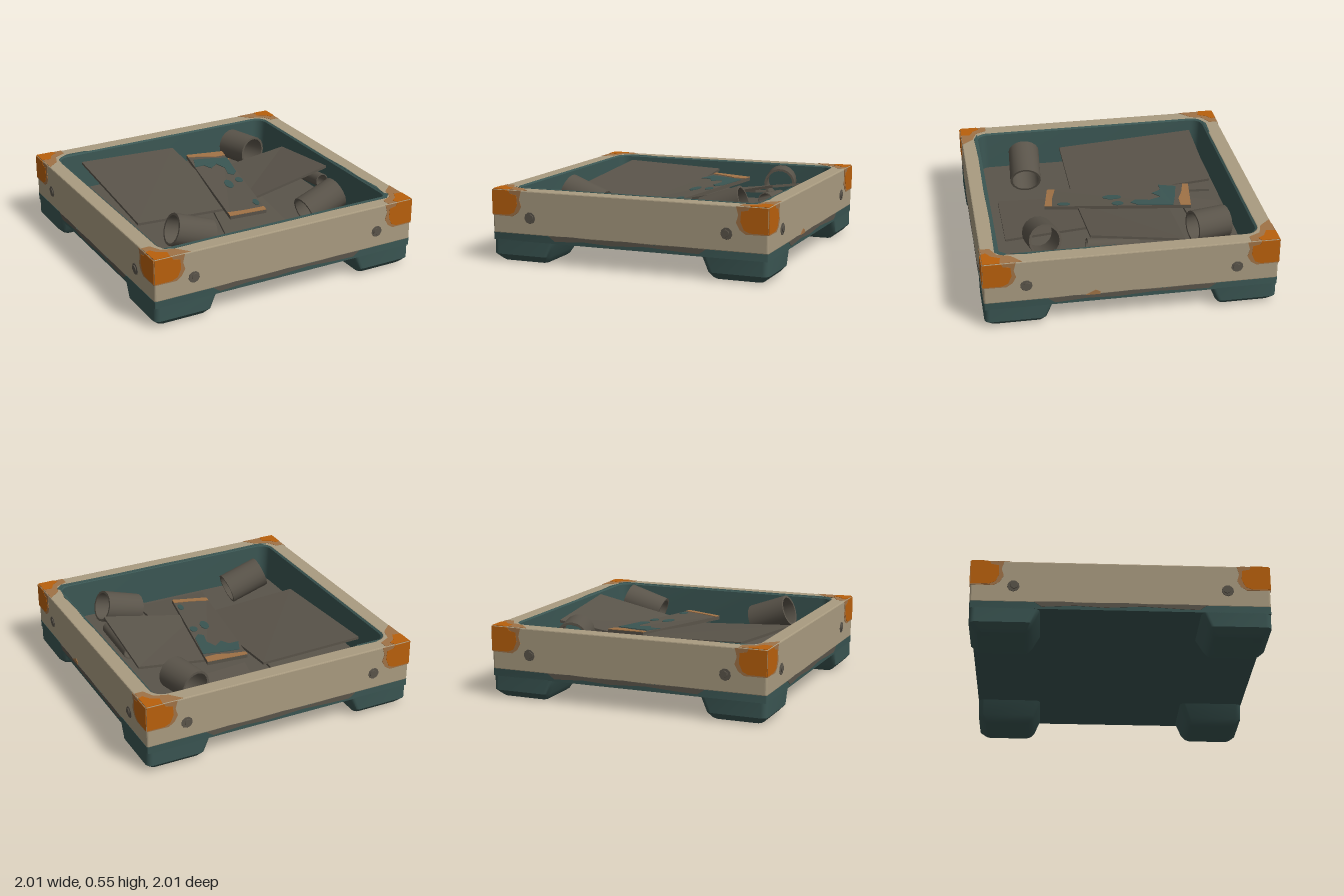
import * as THREE from 'three';
import { toCreasedNormals } from 'three/addons/utils/BufferGeometryUtils.js';

const mat = (name, color, side = THREE.FrontSide) => {
  const m = new THREE.MeshStandardMaterial({ color, side });
  m.name = name;
  return m;
};

export function createModel() {
  const cream = mat('cream paint', 0xa99b80);
  const teal = mat('teal metal', 0x3a5552);
  const orange = mat('orange paint', 0xb9600c);
  const worn = mat('worn copper edge', 0xa07246);
  const grey = mat('grey scrap', 0x5a544a);
  const root = new THREE.Group();
  root.name = 'scrapTray';

  const add = (name, geo, material, parent = root) => {
    const mesh = new THREE.Mesh(geo, material);
    mesh.name = name;
    parent.add(mesh);
    return mesh;
  };

  // Rounded rectangle outline as [x, z] pairs
  const outline = (x0, x1, z0, z1, r, n = 6) => {
    const pts = [];
    [[x1 - r, z1 - r], [x0 + r, z1 - r], [x0 + r, z0 + r], [x1 - r, z0 + r]].forEach(([cx, cz], k) => {
      for (let i = 0; i <= n; i++) {
        const a = (k + i / n) * Math.PI / 2;
        pts.push([cx + r * Math.cos(a), cz + r * Math.sin(a)]);
      }
    });
    return pts;
  };

  // Skin over stacked rounded rectangles [y, x0, x1, z0, z1, r]; upward rings face outward
  const loft = (rings, capped = true) => {
    const pos = [], idx = [];
    const loops = rings.map(([y, ...rect]) => outline(...rect).map(([x, z]) => [x, y, z]));
    const n = loops[0].length;
    loops.forEach(l => l.forEach(p => pos.push(...p)));
    for (let i = 0; i < loops.length - 1; i++) {
      for (let j = 0; j < n; j++) {
        const a = i * n + j, b = i * n + (j + 1) % n;
        idx.push(a, a + n, b, b, a + n, b + n);
      }
    }
    if (capped) {
      const last = (loops.length - 1) * n;
      for (let j = 1; j < n - 1; j++) idx.push(0, j, j + 1, last, last + j + 1, last + j);
    }
    const g = new THREE.BufferGeometry();
    g.setAttribute('position', new THREE.Float32BufferAttribute(pos, 3));
    g.setIndex(idx);
    return toCreasedNormals(g, 0.6);
  };

  const shapeOf = pts => new THREE.Shape(pts.map(p => new THREE.Vector2(p[0], p[1])));
  const plate = (pts, depth) => new THREE.ExtrudeGeometry(shapeOf(pts), { depth, bevelEnabled: false });
  const topPlate = (pts, depth) => plate(pts.map(([x, z]) => [x, -z]).reverse(), depth).rotateX(-Math.PI / 2).translate(0, 0.5, 0);
  const S = 0.994;

  // Base slab and outer wall
  add('base', loft([[0.15, -S, S, -S, S, 0.012], [0.2, -S, S, -S, S, 0.012]]), teal);
  const ring = shapeOf(outline(-S, S, -S, S, 0.015));
  ring.holes.push(new THREE.Path(outline(-0.885, 0.885, -0.885, 0.885, 0.09).map(p => new THREE.Vector2(...p))));
  const wall = new THREE.ExtrudeGeometry(ring, {
    depth: 0.288, bevelEnabled: true, bevelSize: 0.008, bevelThickness: 0.008, bevelOffset: -0.008, bevelSegments: 2,
  });
  add('wall', wall.rotateX(-Math.PI / 2).translate(0, 0.204, 0), cream);

  // Inner liner and floor
  const sq = (y, h, r) => [y, -h, h, -h, h, r];
  add('liner', loft([sq(0.5, 0.886, 0.09), sq(0.49, 0.872, 0.08), sq(0.22, 0.858, 0.07)], false), teal);
  add('floor', new THREE.ShapeGeometry(shapeOf(outline(-0.862, 0.862, -0.862, 0.862, 0.07)))
    .rotateX(-Math.PI / 2).translate(0, 0.222, 0), grey);

  // Each quarter turn carries a foot, corner paint, bolts and a grime line
  const grime = [[-0.57, 0.2], [-0.52, 0.165], [-0.3, 0.178], [-0.1, 0.168], [0.15, 0.182], [0.38, 0.17],
    [0.52, 0.166], [0.57, 0.2], [0.4, 0.204], [0.2, 0.199], [0, 0.206], [-0.25, 0.2], [-0.4, 0.206]];
  const faceWorn = [[0.993, 0.32], [0.993, 0.496], [0.775, 0.496], [0.79, 0.44], [0.775, 0.39], [0.8, 0.345], [0.84, 0.318]];
  const faceOrange = [[0.993, 0.328], [0.993, 0.496], [0.87, 0.496], [0.86, 0.475], [0.81, 0.465], [0.805, 0.4], [0.83, 0.345], [0.87, 0.328]];
  const topWorn = [[0.99, 0.99], [0.8, 0.99], [0.8, 0.93], [0.88, 0.89], [0.91, 0.8], [0.99, 0.73]];
  const topOrange = [[0.992, 0.992], [0.87, 0.992], [0.855, 0.96], [0.9, 0.93], [0.93, 0.87], [0.992, 0.88]];
  const flip = pts => pts.map(([x, y]) => [-x, y]).reverse();
  for (let q = 0; q < 4; q++) {
    const side = new THREE.Group();
    side.name = 'side' + (q + 1);
    side.rotation.y = q * Math.PI / 2;
    root.add(side);
    add('foot', loft([
      [0, 0.615, 0.94, 0.615, 0.94, 0.03], [0.012, 0.597, 0.957, 0.597, 0.957, 0.035],
      [0.05, 0.575, S, 0.575, S, 0.04], [0.155, 0.53, S, 0.53, S, 0.04],
    ]), teal, side);
    add('grimeLine', plate(grime, 0.003).translate(0, 0, S), grey, side);
    [faceWorn, flip(faceWorn)].forEach(p => add('wornCornerFace', plate(p, 0.003).translate(0, 0, S), worn, side));
    [faceOrange, flip(faceOrange)].forEach(p => add('orangeCornerFace', plate(p, 0.005).translate(0, 0, S), orange, side));
    add('wornCornerTop', topPlate(topWorn, 0.002), worn, side);
    add('orangeCornerTop', topPlate(topOrange, 0.004), orange, side);
    for (const s of [-1, 1]) {
      const washer = new THREE.CylinderGeometry(0.04, 0.042, 0.005, 9).rotateX(Math.PI / 2);
      add('boltWasher', washer.translate(s * 0.71, 0.315, S + 0.001), grey, side);
      const bolt = new THREE.CylinderGeometry(0.024, 0.028, 0.014, 6).rotateX(Math.PI / 2);
      add('bolt', bolt.translate(s * 0.705, 0.317, S + 0.003), grey, side);
    }
  }

  // Chipped stains on the rim and side
  const frontStain = [[-0.84, 0.87], [0.84, 0.87], [0.88, 0.82], [0.9, 0.85], [0.85, 0.9], [0.4, 0.893], [0, 0.898], [-0.5, 0.892], [-0.8, 0.9], [-0.88, 0.87]];
  add('frontRimStain', topPlate(frontStain, 0.002), teal);
  add('rightRimStain', topPlate([[0.884, 0.1], [0.895, 0.3], [0.888, 0.5], [0.9, 0.7], [0.88, 0.8]], 0.002), teal);
  add('backRimStain', topPlate([[-0.82, -0.883], [-0.78, -0.9], [-0.64, -0.895], [-0.62, -0.883]], 0.002), teal);
  add('sideChip', plate([[-0.32, 0.2], [-0.22, 0.2], [-0.22, 0.22], [-0.25, 0.235], [-0.29, 0.215]], 0.004)
    .translate(0, 0, S).rotateY(Math.PI / 2), worn);

  // Map unit coordinates (u right, v back, height) onto four corners
  const warp = (geo, [fl, fr, bl, br]) => {
    const p = geo.attributes.position;
    for (let i = 0; i < p.count; i++) {
      const u = p.getX(i), v = p.getY(i), h = p.getZ(i);
      const c = [0, 1, 2].map(k => (fl[k] * (1 - u) + fr[k] * u) * (1 - v) + (bl[k] * (1 - u) + br[k] * u) * v);
      p.setXYZ(i, c[0], c[1] + h, c[2]);
    }
    const flat = geo.index ? geo.toNonIndexed() : geo;
    flat.computeVertexNormals();
    return flat;
  };
  const sheet = (name, corners, t = 0.018) =>
    add(name, warp(new THREE.BoxGeometry(1, 1, t).translate(0.5, 0.5, -t / 2), corners), grey);

  // Scrap sheets, corners in order front left, front right, back left, back right
  sheet('largeSheet', [[-0.755, 0.4, 0.255], [0, 0.36, 0.255], [-0.73, 0.48, -0.755], [0.015, 0.455, -0.74]]);
  sheet('rightSheet', [[0.05, 0.37, 0.245], [0.77, 0.52, 0.25], [0.1, 0.35, -0.4], [0.785, 0.44, -0.395]]);
  sheet('frontSheet', [[-0.265, 0.25, 0.78], [0.285, 0.25, 0.78], [-0.1, 0.32, 0.1], [0.31, 0.32, 0.1]]);
  sheet('backSheet', [[0.03, 0.34, -0.5], [0.38, 0.34, -0.53], [0.075, 0.3, -0.79], [0.425, 0.3, -0.79]]);
  sheet('backLeftSheet', [[-0.56, 0.3, -0.4], [-0.14, 0.3, -0.4], [-0.555, 0.28, -0.785], [-0.14, 0.28, -0.785]]);

  // Top plank with worn ends and paint patches
  const plank = [[-0.13, 0.385, 0.43], [0.13, 0.4, 0.48], [0.05, 0.445, -0.575], [0.335, 0.435, -0.535]];
  sheet('plank', plank, 0.025);
  const onPlank = (name, pts, m) => add(name, warp(plate(pts, 0.004), plank), m);
  onPlank('plankFrontEdge', [[0, 0], [1, 0], [1, 0.05], [0.5, 0.045], [0, 0.055]], worn);
  onPlank('plankBackEdge', [[0, 0.96], [0.4, 0.945], [0.7, 0.92], [1, 0.93], [1, 1], [0, 1]], worn);
  onPlank('plankPaint', [[0, 0.79], [0.25, 0.8], [0.4, 0.74], [0.6, 0.8], [0.75, 0.72], [0.72, 0.62], [0.85, 0.59], [0.97, 0.64], [1, 0.88], [0.55, 0.9], [0.1, 0.91]], teal);
  [[0.55, 0.46, 0.11, 0.065], [0.88, 0.5, 0.1, 0.04], [0.88, 0.13, 0.08, 0.045]].forEach(([u, v, a, b]) => {
    const oval = Array.from({ length: 12 }, (_, i) => [u + a * Math.cos(i * Math.PI / 6), v + b * Math.sin(i * Math.PI / 6)]);
    onPlank('plankPaintSpot', oval, teal);
  });
  add('rustStrip', new THREE.BoxGeometry(0.28, 0.008, 0.015).translate(0.69, 0.225, -0.83), worn);

  // Open pipe offcuts, laid along a direction
  const pipe = (name, r, len, center, dir) => {
    const h = len / 2, i = r * 0.86;
    const profile = [[i, -h], [r, -h], [r, h], [i, h], [i, -h]].map(p => new THREE.Vector2(...p));
    const mesh = add(name, toCreasedNormals(new THREE.LatheGeometry(profile, 18), 0.6), grey);
    mesh.position.set(...center);
    mesh.quaternion.setFromUnitVectors(new THREE.Vector3(0, 1, 0), new THREE.Vector3(...dir).normalize());
  };
  pipe('frontLeftPipe', 0.113, 0.29, [-0.505, 0.4, 0.55], [-1, 0.36, -0.07]);
  pipe('frontRightPipe', 0.113, 0.29, [0.53, 0.4, 0.55], [1, 0.34, -0.07]);
  pipe('backPipe', 0.113, 0.25, [0.55, 0.4, -0.615], [0.25, 0.03, 1]);
  pipe('smallPipe', 0.05, 0.36, [0.72, 0.4, 0.09], [0.03, 0.1, 1]);

  return root;
}
